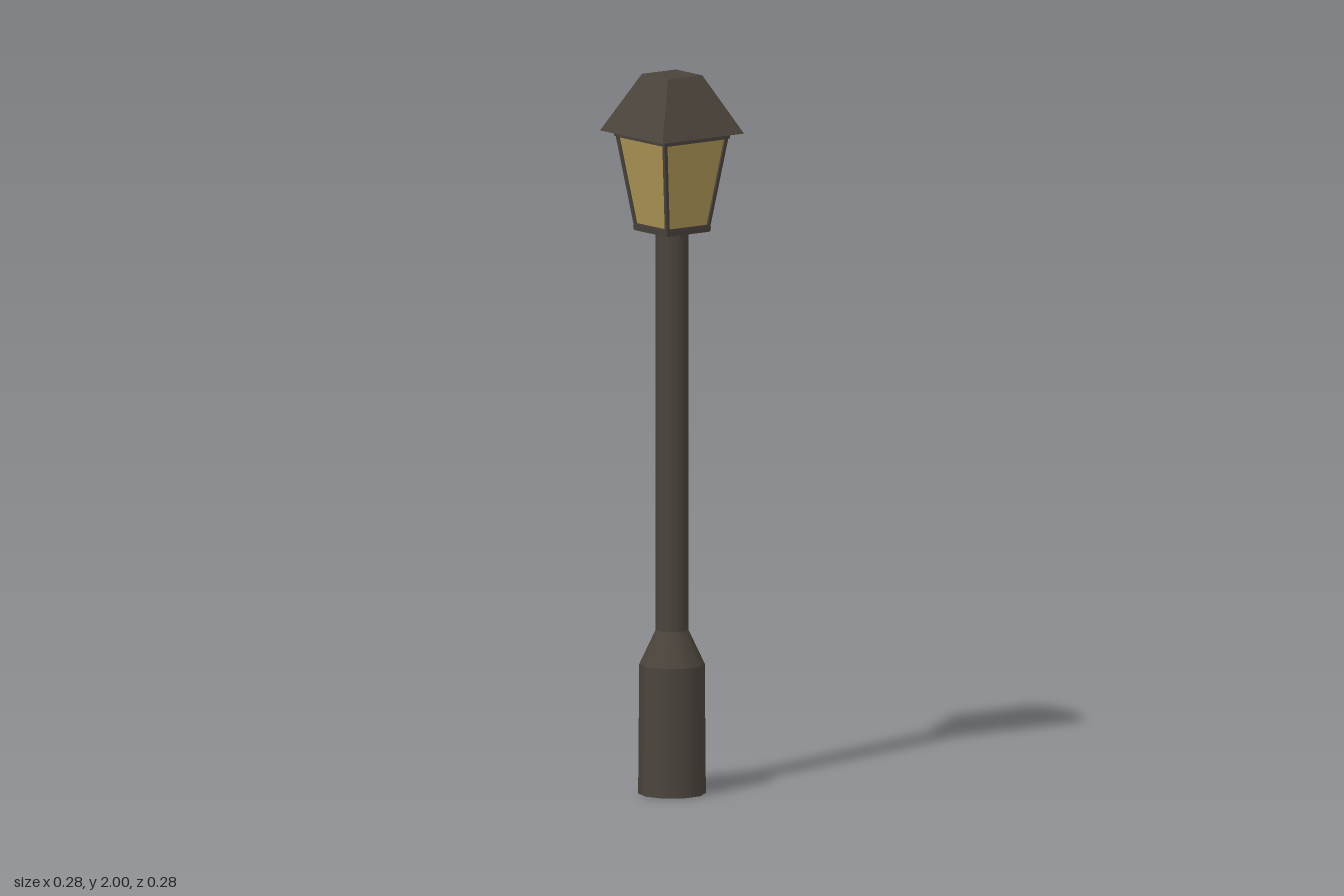
import * as THREE from 'three';

export function createModel() {
  const model = new THREE.Group();
  const metal = new THREE.MeshStandardMaterial({ color: 0x4b443c });
  metal.name = 'dark metal';
  const glass = new THREE.MeshStandardMaterial({ color: 0xae9555 });
  glass.name = 'amber glass';

  const add = (name, geometry, material, parent = model) => {
    const mesh = new THREE.Mesh(geometry, material);
    mesh.name = name;
    parent.add(mesh);
    return mesh;
  };

  // Ten-sided smooth tube section between two heights
  const round = (name, y0, r0, y1, r1, open = true) => {
    const g = new THREE.CylinderGeometry(r1, r0, y1 - y0, 10, 1, open);
    g.translate(0, (y0 + y1) / 2, 0);
    return add(name, g, metal);
  };

  // Square tapered block, given by its half widths at two heights
  const square = (name, y0, h0, y1, h1, material) => {
    const g = new THREE.CylinderGeometry(h1 * Math.SQRT2, h0 * Math.SQRT2, y1 - y0, 4);
    g.rotateY(Math.PI / 4).translate(0, (y0 + y1) / 2, 0);
    const flat = g.toNonIndexed();
    flat.computeVertexNormals();
    return add(name, flat, material);
  };

  // Post
  round('base', 0, 0.093, 0.36, 0.09, false);
  round('baseShoulder', 0.36, 0.09, 0.455, 0.045);
  round('pole', 0.45, 0.045, 1.57, 0.045, false);

  // Lantern body
  const bottom = 1.565, top = 1.838;
  const half = (y) => THREE.MathUtils.mapLinear(y, bottom, top, 0.073, 0.112);
  square('lanternFloor', bottom, 0.0745, bottom + 0.014, 0.0765, metal);
  square('glassPanes', bottom + 0.012, half(bottom + 0.012) - 0.006,
    top - 0.005, half(top - 0.005) - 0.006, glass);

  // Four leaning window frames
  const trapezoid = (y0, y1, inset, Type) => {
    const a = half(y0) - inset, b = half(y1) - inset;
    return new Type([[-a, y0], [a, y0], [b, y1], [-b, y1]].map((p) => new THREE.Vector2(...p)));
  };
  const outline = trapezoid(bottom, top, 0, THREE.Shape);
  outline.holes.push(trapezoid(bottom + 0.02, top - 0.014, 0.01, THREE.Path));
  const frameGeometry = new THREE.ExtrudeGeometry(outline, { depth: 0.01, bevelEnabled: false });
  const p = frameGeometry.attributes.position;
  for (let i = 0; i < p.count; i++) p.setZ(i, p.getZ(i) - 0.01 + half(p.getY(i)));
  frameGeometry.computeVertexNormals();
  for (let i = 0; i < 4; i++) {
    add('windowFrame', frameGeometry, metal).rotation.y = i * Math.PI / 2;
  }

  // Roof
  square('roof', 1.84, 0.141, 2, 0.059, metal);
  square('roofRim', 1.826, 0.113, 1.841, 0.115, metal);

  return model;
}
